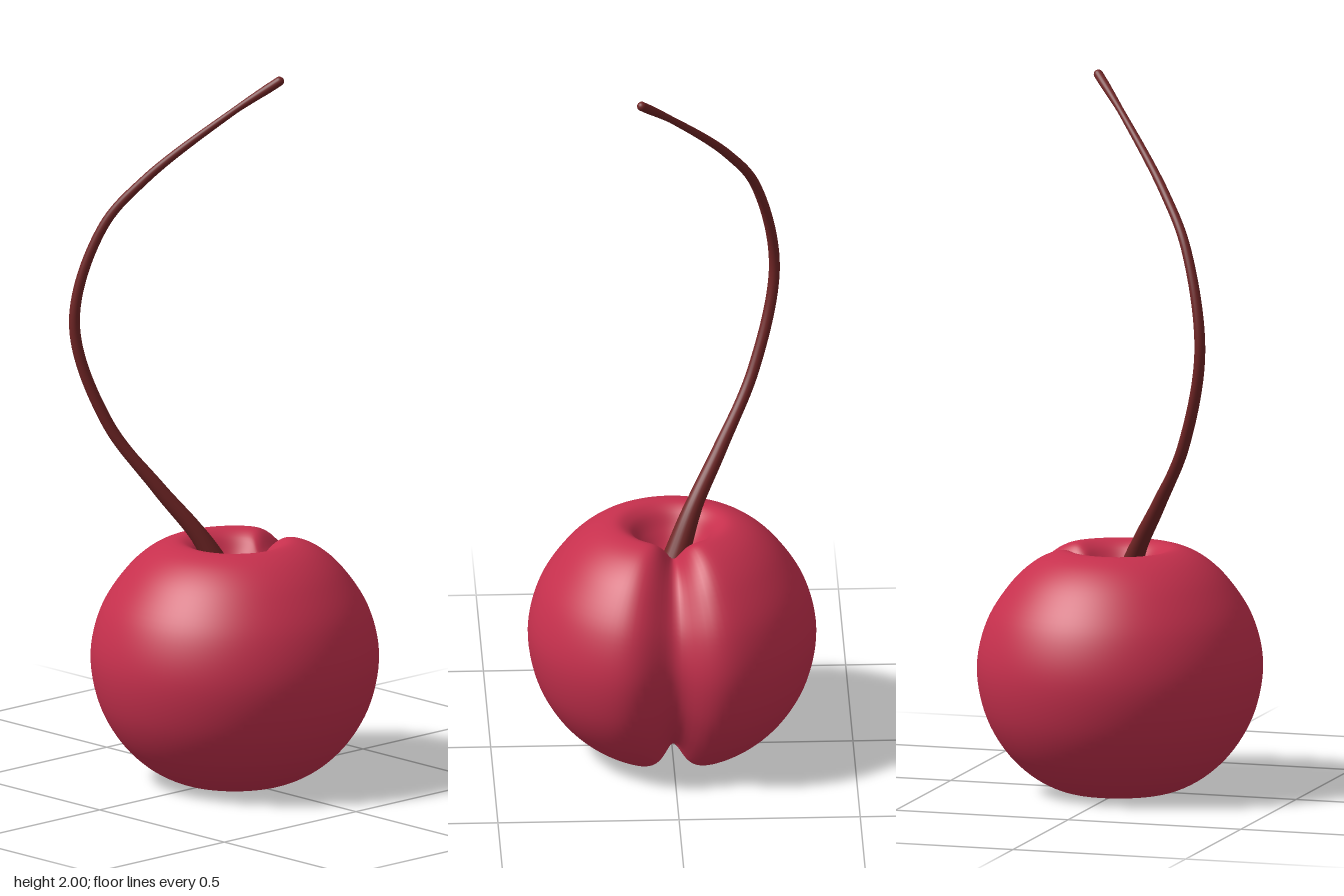
import * as THREE from 'three';
import { mergeVertices } from 'three/addons/utils/BufferGeometryUtils.js';

const skin = new THREE.MeshStandardMaterial({ color: 0xc6304d });
skin.name = 'cherryRed';
const bark = new THREE.MeshStandardMaterial({ color: 0x702525 });
bark.name = 'stemBrown';

// Round fruit with a dimple at each pole and a soft groove down its +x side
function createFruit() {
  const outline = [
    [0, 0.05], [0.045, 0.037], [0.09, 0.014], [0.15, 0.004], [0.24, 0.046],
    [0.32, 0.123], [0.377, 0.23], [0.398, 0.36], [0.37, 0.485], [0.305, 0.588],
    [0.235, 0.652], [0.165, 0.68], [0.12, 0.665], [0.085, 0.62], [0.045, 0.578], [0, 0.565],
  ].map(([r, y]) => new THREE.Vector2(r, y));
  const profile = new THREE.SplineCurve(outline).getPoints(90);
  profile.forEach((p) => { p.x = Math.max(p.x, 0); });
  profile[0].x = profile[profile.length - 1].x = 0;

  let geometry = new THREE.LatheGeometry(profile, 128);
  const pos = geometry.attributes.position;
  const midY = 0.36;
  for (let i = 0; i < pos.count; i++) {
    const x = pos.getX(i), y = pos.getY(i), z = pos.getZ(i);
    const angle = Math.atan2(z, x);
    const fade = THREE.MathUtils.smoothstep(Math.hypot(x, z), 0.02, 0.16);
    const k = 1 - 0.195 * fade * Math.exp(-((angle / 0.243) ** 2));
    pos.setXYZ(i, x * k + 0.013, midY + (y - midY) * k, z * k);
  }
  // Weld the seam so the skin shades smoothly all round
  geometry.deleteAttribute('uv');
  geometry.deleteAttribute('normal');
  geometry = mergeVertices(geometry, 1e-5);
  geometry.computeVertexNormals();
  const fruit = new THREE.Mesh(geometry, skin);
  fruit.name = 'fruit';
  return fruit;
}

// Curved stem, thick at the base, thin near the top, with a small knob at the tip
function createStem() {
  const path = new THREE.CatmullRomCurve3([
    [0, 0.55], [-0.06, 0.69], [-0.145, 0.83], [-0.25, 1.02], [-0.316, 1.3],
    [-0.26, 1.57], [-0.172, 1.71], [0, 1.895], [0.1, 1.987],
  ].map(([x, y]) => new THREE.Vector3(x, y, x * 0.92 - 0.005)));
  const radii = [[0, 0.038], [0.1, 0.024], [0.25, 0.017], [0.5, 0.015], [0.75, 0.0125], [0.92, 0.0095], [0.98, 0.013], [1, 0.013]];
  const radiusAt = (t) => {
    const i = Math.max(1, radii.findIndex(([u]) => u >= t));
    const [u0, r0] = radii[i - 1], [u1, r1] = radii[i];
    return THREE.MathUtils.lerp(r0, r1, (t - u0) / (u1 - u0));
  };

  const rings = 96, sides = 20;
  const geometry = new THREE.TubeGeometry(path, rings, 1, sides);
  const pos = geometry.attributes.position;
  const v = new THREE.Vector3();
  for (let i = 0; i <= rings; i++) {
    const centre = path.getPointAt(i / rings);
    const radius = radiusAt(i / rings);
    for (let j = 0; j <= sides; j++) {
      const n = i * (sides + 1) + j;
      v.fromBufferAttribute(pos, n).sub(centre).multiplyScalar(radius).add(centre);
      pos.setXYZ(n, v.x, v.y, v.z);
    }
  }
  const stalk = new THREE.Mesh(geometry, bark);
  stalk.name = 'stalk';

  const tip = new THREE.Mesh(new THREE.SphereGeometry(0.013, 20, 14), bark);
  tip.position.copy(path.getPointAt(1));
  tip.name = 'stemTip';

  const stem = new THREE.Group();
  stem.name = 'stem';
  stem.add(stalk, tip);
  return stem;
}

export function createModel() {
  const cherry = new THREE.Group();
  cherry.name = 'cherry';
  cherry.add(createFruit(), createStem());
  return cherry;
}
